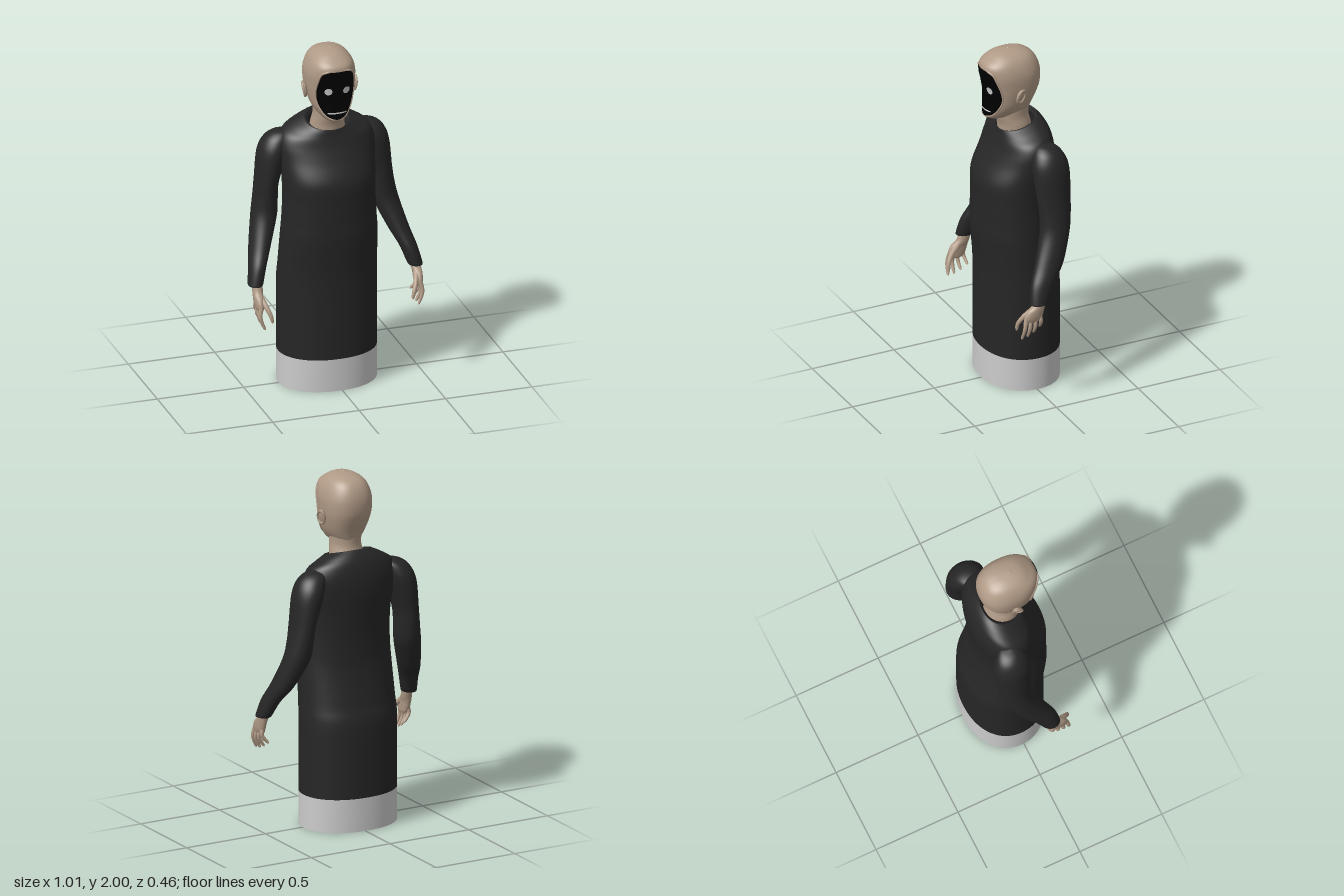
import * as THREE from 'three';

const mat = (color, side = THREE.FrontSide) =>
  new THREE.MeshStandardMaterial({ color, side, roughness: 0.9 });
const CX = -0.018; // body centre line

// Catmull-Rom interpolation of whole section rows
function smooth(rows, steps = 6) {
  const out = [];
  const at = i => rows[Math.min(rows.length - 1, Math.max(0, i))];
  for (let i = 0; i < rows.length - 1; i++) {
    for (let k = 0; k < steps; k++) {
      const t = k / steps, [a, b, c, d] = [at(i - 1), at(i), at(i + 1), at(i + 2)];
      out.push(b.map((v, q) => v + 0.5 * t * (c[q] - a[q] +
        t * (2 * a[q] - 5 * v + 4 * c[q] - d[q] + t * (3 * (v - c[q]) + d[q] - a[q])))));
    }
  }
  out.push(at(rows.length - 1));
  return out;
}

// Skin over horizontal rings, bottom to top: [y, cx, rx, zFront, zBack, tilt]
function loft(rows, n = 2, seg = 48) {
  const pos = [], idx = [];
  const pow = v => Math.sign(v) * Math.abs(v) ** (2 / n);
  rows.forEach(([y, cx, rx, zf, zb, tilt = 0], i) => {
    for (let j = 0; j < seg; j++) {
      const a = (j / seg) * Math.PI * 2;
      const dz = pow(Math.sin(a)) * (zf - zb) / 2;
      pos.push(cx + rx * pow(Math.cos(a)), y + tilt * dz, (zf + zb) / 2 + dz);
      if (i === rows.length - 1) continue;
      const p = i * seg + j, q = i * seg + (j + 1) % seg;
      idx.push(p, p + seg, q, q, p + seg, q + seg);
    }
  });
  const g = new THREE.BufferGeometry();
  g.setAttribute('position', new THREE.Float32BufferAttribute(pos, 3));
  g.setIndex(idx);
  g.computeVertexNormals();
  return g;
}

// Tapered tube with rounded ends
function finger(points, r0, r1) {
  const curve = new THREE.CatmullRomCurve3(points.map(p => new THREE.Vector3(...p)));
  const n = 20, rad = 10, g = new THREE.TubeGeometry(curve, n, 1, rad);
  const p = g.attributes.position, v = new THREE.Vector3();
  for (let i = 0; i <= n; i++) {
    const t = i / n, c = curve.getPointAt(t);
    const r = (r0 + (r1 - r0) * t) * Math.sqrt(Math.max(0, 1 - (2 * t - 1) ** 8));
    for (let j = 0; j <= rad; j++) {
      const k = i * (rad + 1) + j;
      v.fromBufferAttribute(p, k).sub(c).multiplyScalar(r).add(c);
      p.setXYZ(k, v.x, v.y, v.z);
    }
  }
  return g;
}

export function createModel() {
  const model = new THREE.Group();
  model.name = 'robedFigure';
  const skin = mat(0xb09a86), cloth = mat(0x262626, THREE.DoubleSide);
  const black = mat(0x000000, THREE.DoubleSide), grey = mat(0xcccccc, THREE.DoubleSide);
  const add = (name, geometry, material, parent = model) => {
    const m = new THREE.Mesh(geometry, material);
    m.name = name;
    parent.add(m);
    return m;
  };
  const centred = rows => rows.map(([y, ...r]) => [y, CX, ...r]);

  // Long robe with a sloping neckline, open at the hem
  add('robe', loft(smooth(centred([
    [0.195, 0.28, 0.212, -0.232, 0], [0.4, 0.28, 0.212, -0.232, 0], [0.61, 0.28, 0.212, -0.23, 0],
    [0.72, 0.277, 0.215, -0.205, 0], [0.9, 0.272, 0.23, -0.172, 0], [1.0, 0.265, 0.23, -0.165, 0],
    [1.12, 0.26, 0.23, -0.168, 0], [1.24, 0.262, 0.226, -0.18, 0], [1.35, 0.272, 0.17, -0.19, 0],
    [1.43, 0.275, 0.137, -0.187, -0.08], [1.49, 0.25, 0.12, -0.17, -0.18],
    [1.525, 0.195, 0.112, -0.148, -0.26], [1.55, 0.142, 0.107, -0.125, -0.3],
    [1.557, 0.12, 0.103, -0.115, -0.3], [1.54, 0.102, 0.092, -0.102, -0.3],
  ])), 2.15, 64), cloth);

  // Pale band around the hem
  add('hemBand', loft([[0.005, CX, 0.28, 0.212, -0.232], [0.195, CX, 0.28, 0.212, -0.232]], 2.15, 64), grey);

  // Head and neck
  const N = 2.4;
  const headRows = smooth(centred([
    [1.592, 0.004, 0.09, 0.08], [1.598, 0.04, 0.15, -0.04], [1.61, 0.06, 0.178, -0.065],
    [1.635, 0.083, 0.185, -0.075], [1.68, 0.108, 0.18, -0.09], [1.74, 0.125, 0.176, -0.115],
    [1.8, 0.135, 0.182, -0.133], [1.87, 0.137, 0.197, -0.135], [1.93, 0.121, 0.197, -0.117],
    [1.97, 0.092, 0.15, -0.083], [1.992, 0.05, 0.105, -0.03], [2.0, 0.002, 0.045, 0.041],
  ]));
  add('head', loft(headRows, N), skin);
  add('neck', loft(smooth(centred([
    [1.49, 0.1, 0.095, -0.1], [1.55, 0.094, 0.1, -0.085], [1.6, 0.086, 0.115, -0.075],
    [1.66, 0.088, 0.12, -0.08],
  ]))), skin);

  // Front surface of the head, used to drape the face parts
  const headZ = (x, y) => {
    const i = Math.max(1, headRows.findIndex(r => r[0] >= y));
    const a = headRows[i - 1], b = headRows[i], t = (y - a[0]) / (b[0] - a[0]);
    const [rx, zf, zb] = [2, 3, 4].map(q => a[q] + (b[q] - a[q]) * t);
    const s = Math.max(0, 1 - Math.abs((x - CX) / rx) ** N) ** (1 / N);
    return (zf + zb) / 2 + s * (zf - zb) / 2;
  };
  const drape = (g, lift) => {
    const p = g.attributes.position;
    for (let i = 0; i < p.count; i++) p.setZ(i, headZ(p.getX(i), p.getY(i)) + lift);
    g.computeVertexNormals();
    return g;
  };

  // Black face, rows of [y, half width]
  const faceRows = smooth([[1.62, 0.025], [1.635, 0.055], [1.67, 0.082], [1.72, 0.102],
    [1.78, 0.109], [1.85, 0.102], [1.895, 0.088], [1.912, 0.06]], 4).reverse();
  const face = new THREE.PlaneGeometry(2, 1, 24, faceRows.length - 1);
  for (let i = 0, p = face.attributes.position; i < p.count; i++) {
    const [y, w] = faceRows[Math.floor(i / 25)];
    p.setXY(i, CX + p.getX(i) * w, y);
  }
  add('face', drape(face, 0.004), black);

  // Skin rim around the face
  const rimPoint = s => ([y, w]) => new THREE.Vector3(CX + s * w, y, headZ(CX + s * w, y) + 0.002);
  const rim = [...faceRows.map(rimPoint(1)), ...faceRows.map(rimPoint(-1)).reverse()];
  add('faceRim', new THREE.TubeGeometry(new THREE.CatmullRomCurve3(rim, true), 120, 0.006, 8, true), skin);

  // Eyes and mouth
  for (const s of [1, -1]) {
    const eye = new THREE.RingGeometry(0.0005, 0.021, 28, 3).translate(CX + s * 0.052, 1.79, 0);
    add(s > 0 ? 'leftEye' : 'rightEye', drape(eye, 0.007), grey);
  }
  add('mouth', drape(new THREE.PlaneGeometry(0.11, 0.008, 16, 1).translate(CX, 1.66, 0), 0.007), grey);

  for (const s of [1, -1]) {
    const side = s > 0 ? 'left' : 'right';

    // Ear: bowl with a curled rim
    const ear = new THREE.Group();
    ear.name = side + 'Ear';
    ear.position.set(CX + s * 0.138, 1.762, 0.032);
    ear.rotation.set(-0.2, s * 0.3, s * -0.15);
    add('earBowl', new THREE.SphereGeometry(1, 20, 14).scale(0.012, 0.042, 0.026), skin, ear);
    const curl = new THREE.TorusGeometry(0.03, 0.007, 8, 28).rotateY(Math.PI / 2).scale(1, 1.3, 0.85);
    add('earRim', curl, skin, ear).position.x = s * 0.008;
    model.add(ear);

    // Sleeve, bending forward to the cuff
    const sleeve = [
      [0.68, 0.46, 0.03, 0.125, 0.05], [0.655, 0.462, 0.041, 0.138, 0.038],
      [0.75, 0.437, 0.048, 0.12, -0.015], [0.85, 0.4, 0.059, 0.075, -0.09],
      [1.0, 0.353, 0.072, 0.02, -0.15], [1.1, 0.338, 0.068, 0.013, -0.168],
      [1.2, 0.327, 0.066, 0.02, -0.175], [1.36, 0.295, 0.083, 0.03, -0.182],
      [1.44, 0.27, 0.078, 0.015, -0.16], [1.483, 0.245, 0.055, -0.015, -0.12],
      [1.498, 0.235, 0.003, -0.055, -0.06],
    ].map(([y, x, ...r]) => [y, s * x + CX * Math.min(1, Math.max(0, (y - 0.66) / 0.6)), ...r]);
    add(side + 'Sleeve', loft(smooth(sleeve), 2, 32), cloth);

    // Hand: flat palm, four fingers and a thumb
    const hand = new THREE.Group();
    hand.name = side + 'Hand';
    if (s < 0) hand.position.set(0.008, -0.025, 0.012);
    add('palm', loft(smooth([
      [0.54, 0.462, 0.003, 0.13, 0.12], [0.548, 0.463, 0.016, 0.165, 0.09],
      [0.575, 0.466, 0.022, 0.178, 0.072], [0.615, 0.466, 0.025, 0.16, 0.06],
      [0.65, 0.462, 0.028, 0.123, 0.052], [0.72, 0.456, 0.028, 0.105, 0.03],
    ].map(([y, x, ...r]) => [y, s * x, ...r])), 2.2, 24), skin, hand);
    [[0.166, 0.565, 0.186, 0.445], [0.14, 0.56, 0.15, 0.45],
      [0.112, 0.56, 0.112, 0.468], [0.086, 0.575, 0.072, 0.495]].forEach(([z0, y0, z1, y1], i) => {
      add('finger' + (i + 1), finger([
        [s * 0.464, y0 + 0.02, z0], [s * 0.474, (y0 + y1) / 2 + 0.012, (z0 + z1) / 2 + 0.003],
        [s * (0.448 - i * 0.004), y1, z1]], 0.0135, 0.008), skin, hand);
    });
    add('thumb', finger([[s * 0.46, 0.63, 0.11], [s * 0.438, 0.575, 0.172],
      [s * 0.42, 0.53, 0.197], [s * 0.411, 0.485, 0.2]], 0.019, 0.009), skin, hand);
    model.add(hand);
  }
  return model;
}
